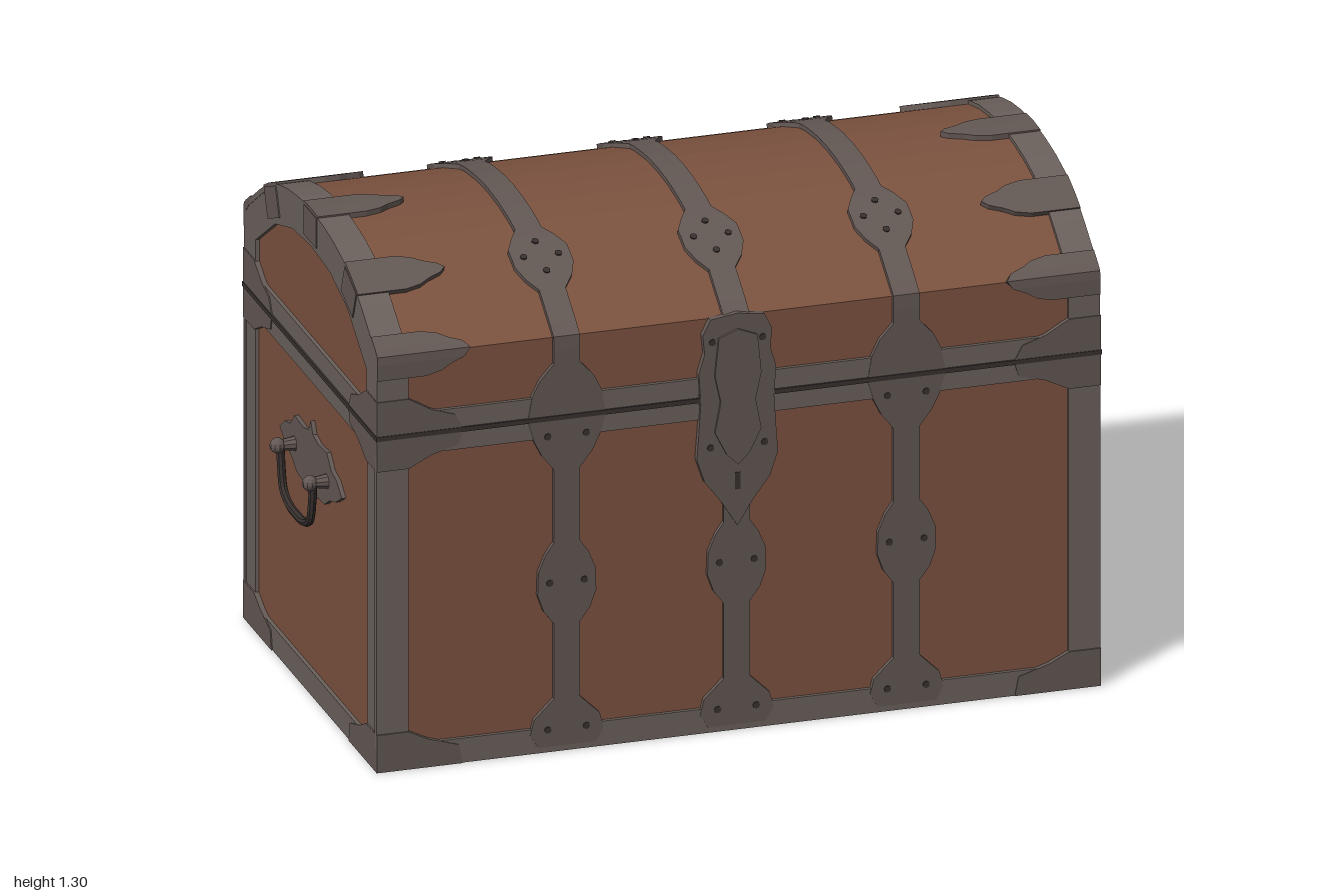
import * as THREE from 'three';

const mat = (name, color) => Object.assign(new THREE.MeshStandardMaterial({ color, flatShading: true }), { name });

// Half of the lid section as [z, y], from the ridge to the rim
const HALF = [[0, 1.283], [0.09, 1.279], [0.18, 1.267], [0.27, 1.246], [0.33, 1.222], [0.38, 1.196], [0.525, 1.098], [0.525, 0.89]];
const CUM = [0];
for (let i = 1; i < HALF.length; i++) CUM.push(CUM[i - 1] + Math.hypot(HALF[i][0] - HALF[i - 1][0], HALF[i][1] - HALF[i - 1][1]));
const RIM = CUM[CUM.length - 1];
const SHOULDER = CUM[6];

// Point on the lid at signed arc length s (negative = front)
function lidPoint(s) {
  const a = Math.min(Math.abs(s), RIM);
  let i = 1;
  while (i < CUM.length - 1 && CUM[i] < a) i++;
  const t = (a - CUM[i - 1]) / (CUM[i] - CUM[i - 1]);
  const z = HALF[i - 1][0] + t * (HALF[i][0] - HALF[i - 1][0]);
  const y = HALF[i - 1][1] + t * (HALF[i][1] - HALF[i - 1][1]);
  return [s > 0 ? -z : z, y];
}
function lidAt(s) {
  const [z, y] = lidPoint(s), a = lidPoint(s - 0.01), b = lidPoint(s + 0.01);
  const dz = b[0] - a[0], dy = b[1] - a[1], l = Math.hypot(dz, dy);
  return [z, y, dy / l, -dz / l];
}
const wallAt = (d) => (s) => [d, s, 1, 0];

// Metal strip following a surface; stations are [s, x0, x1]
function ribbon(at, stations, thick) {
  const rows = [];
  stations.forEach((st, i) => {
    const next = stations[i + 1];
    const n = next ? Math.max(1, Math.ceil((next[0] - st[0]) / 0.04)) : 1;
    for (let k = 0; k < n; k++) rows.push(next ? st.map((v, j) => v + (next[j] - v) * k / n) : st);
  });
  const pos = [], idx = [], last = (rows.length - 1) * 4;
  for (const [s, x0, x1] of rows) {
    const [z, y, nz, ny] = at(s);
    for (const [x, o] of [[x0, -0.004], [x1, -0.004], [x1, thick], [x0, thick]]) pos.push(x, y + ny * o, z + nz * o);
  }
  for (let r = 0; r < last; r += 4) for (let k = 0; k < 4; k++) {
    const a = r + k, b = r + (k + 1) % 4;
    idx.push(a, a + 4, b, b, a + 4, b + 4);
  }
  idx.push(0, 1, 2, 0, 2, 3, last, last + 2, last + 1, last, last + 3, last + 2);
  const g = new THREE.BufferGeometry();
  g.setAttribute('position', new THREE.Float32BufferAttribute(pos, 3));
  g.setIndex(idx);
  g.computeVertexNormals();
  return g;
}
const shapeOf = (pts) => new THREE.Shape(pts.map((p) => new THREE.Vector2(p[0], p[1])));
const mirrored = (pts) => [...pts, ...pts.slice().reverse().filter((p) => p[0] > 0).map(([x, y]) => [-x, y])];
const slab = (shape, depth) => new THREE.ExtrudeGeometry(shape, { depth, bevelEnabled: false });

export function createModel() {
  const wood = mat('wood', 0x7c523f), iron = mat('iron', 0x6b615c), plate = mat('ornamentIron', 0x635854), dark = mat('darkIron', 0x38312f);
  const root = new THREE.Group();
  root.name = 'chest';
  const add = (parent, name, geo, m, x = 0, y = 0, z = 0) => {
    const mesh = new THREE.Mesh(geo, m);
    mesh.name = name;
    mesh.position.set(x, y, z);
    parent.add(mesh);
    return mesh;
  };
  const group = (name, turn = 0) => {
    const g = new THREE.Group();
    g.name = name;
    g.rotation.y = turn;
    root.add(g);
    return g;
  };
  const box = (w, h, d) => new THREE.BoxGeometry(w, h, d);

  // Wooden body and domed lid
  add(root, 'body', box(1.85, 0.881, 1.05), wood, 0, 0.4445, 0);
  const lidGeo = slab(shapeOf(mirrored(HALF)), 1.85).translate(0, 0, -0.925).rotateY(-Math.PI / 2);
  add(root, 'lid', lidGeo, wood);
  add(root, 'seam', box(1.88, 0.012, 1.08), dark, 0, 0.888, 0);

  // Rails, posts and corner gussets of one wall, built facing +z
  function frame(g, W, d) {
    const at = wallAt(d), inner = W - 0.08, reach = W - 0.22;
    for (const [y0, y1] of [[0, 0.065], [0.835, 0.883], [0.893, 0.945]]) add(g, 'rail', ribbon(at, [[y0, -W, W], [y1, -W, W]], 0.01), iron);
    for (const s of [-1, 1]) {
      const span = (y, x) => (s > 0 ? [y, x, W + 0.003] : [y, -W - 0.003, -x]);
      add(g, 'post', ribbon(at, [span(0.06, inner), span(0.84, inner)], 0.009), iron);
      add(g, 'cornerPlate', ribbon(at, [span(0, reach), span(0.05, reach + 0.01), span(0.075, inner - 0.05), span(0.1, inner)], 0.013), plate);
      add(g, 'cornerPlate', ribbon(at, [span(0.8, inner), span(0.83, inner - 0.06), span(0.85, reach + 0.01), span(0.883, reach)], 0.013), plate);
      add(g, 'cornerPlate', ribbon(at, [span(0.893, reach), span(0.93, reach + 0.02), span(0.95, inner - 0.06), span(0.985, inner)], 0.013), plate);
    }
  }

  // Straps: [position, half width]
  const wallStrap = [[0.015, 0.075], [0.05, 0.095], [0.09, 0.085], [0.14, 0.034], [0.34, 0.034], [0.375, 0.06], [0.42, 0.076],
    [0.48, 0.074], [0.525, 0.055], [0.555, 0.034], [0.75, 0.034], [0.79, 0.065], [0.83, 0.085], [0.883, 0.1]];
  const lidStrapEnd = [[-RIM + 0.003, 0.1], [-RIM + 0.06, 0.09], [-RIM + 0.1, 0.07], [-RIM + 0.14, 0.034], [-0.435, 0.034],
    [-0.4, 0.06], [-0.36, 0.076], [-0.3, 0.076], [-0.26, 0.055], [-0.225, 0.034]];
  const lidStrap = [...lidStrapEnd, ...lidStrapEnd.slice().reverse().map(([s, w]) => [-s, w])];
  const strapX = [-0.445, -0.005, 0.435];
  const place = (list, x) => list.map(([s, w]) => [s, x - w, x + w]);
  const rivet = new THREE.CylinderGeometry(0.009, 0.009, 0.006, 8);

  for (const [name, turn, sign] of [['frontWall', 0, 1], ['backWall', Math.PI, -1]]) {
    const g = group(name, turn);
    frame(g, 0.935, 0.525);
    for (const x of strapX) {
      add(g, 'strap', ribbon(wallAt(0.525), place(wallStrap, x * sign), 0.012), plate);
      for (const [dx, y] of [[-0.045, 0.45], [0.045, 0.45], [-0.05, 0.06], [0.05, 0.06], [-0.05, 0.84], [0.05, 0.84]])
        add(g, 'rivet', rivet, dark, x * sign + dx, y, 0.537).rotation.x = Math.PI / 2;
    }
  }

  // Lid straps, end strips and leaf-shaped tabs
  const lidIron = group('lidIron');
  for (const x of strapX) {
    add(lidIron, 'lidStrap', ribbon(lidAt, place(lidStrap, x), 0.012), plate);
    for (const c of [-0.33, 0.33]) for (const [dx, ds] of [[-0.045, 0], [0.045, 0], [0, -0.05], [0, 0.05]]) {
      const [z, y, nz, ny] = lidAt(c + ds);
      add(lidIron, 'rivet', rivet, dark, x + dx, y + ny * 0.012, z + nz * 0.012).rotation.x = Math.atan2(nz, ny);
    }
  }
  const leaf = [[-0.056, 0.81], [-0.046, 0.77], [-0.03, 0.745], [-0.015, 0.71], [0, 0.695], [0.015, 0.71], [0.03, 0.745], [0.046, 0.77], [0.056, 0.81]];
  for (const s of [-1, 1]) {
    const span = (p, x) => (s > 0 ? [p, x, 0.936] : [p, -0.936, -x]);
    add(lidIron, 'endStrip', ribbon(lidAt, [span(-RIM, 0.855), span(RIM, 0.855)], 0.01), iron);
    for (const c of [-SHOULDER, -0.33, 0, 0.33, SHOULDER])
      add(lidIron, 'leafTab', ribbon(lidAt, leaf.map(([p, x]) => span(c + p, x)), 0.014), plate);
  }

  // End walls with arched lid frame and bail handle
  const archOuter = [];
  for (let i = 0; i <= 32; i++) {
    const [z, y, nz, ny] = lidAt(-RIM + 2 * RIM * i / 32);
    archOuter.push([z + nz * 0.009, y + ny * 0.009]);
  }
  const arch = shapeOf(archOuter);
  arch.holes.push(shapeOf(mirrored([[0, 1.195], [0.15, 1.184], [0.29, 1.142], [0.445, 1.04], [0.445, 0.945]])));
  const escutcheon = mirrored([[0, 0.73], [0.018, 0.7], [0.06, 0.69], [0.13, 0.695], [0.165, 0.66], [0.21, 0.65], [0.25, 0.62],
    [0.2, 0.59], [0.15, 0.575], [0.11, 0.55], [0.04, 0.545], [0, 0.515]]);
  const bail = new THREE.CatmullRomCurve3([[0.13, 0.625], [0.125, 0.57], [0.105, 0.51], [0.05, 0.487], [0, 0.485],
    [-0.05, 0.487], [-0.105, 0.51], [-0.125, 0.57], [-0.13, 0.625]].map(([x, y]) => new THREE.Vector3(x, y, 0.972)));
  for (const [name, turn] of [['leftEnd', Math.PI / 2], ['rightEnd', -Math.PI / 2]]) {
    const g = group(name, turn);
    frame(g, 0.53, 0.925);
    add(g, 'archFrame', slab(arch, 0.013), iron, 0, 0, 0.922);
    for (const c of [-0.33, 0, 0.33]) {
      const [z, y, nz, ny] = lidAt(c);
      add(g, 'archPlate', box(0.1, 0.08, 0.006), plate, z - nz * 0.035, y - ny * 0.035, 0.935).rotation.z = -Math.atan2(nz, ny);
    }
    add(g, 'handlePlate', slab(shapeOf(escutcheon), 0.012), plate, 0, 0, 0.924);
    add(g, 'handleBail', new THREE.TubeGeometry(bail, 32, 0.011, 8), dark);
    for (const s of [-1, 1]) {
      add(g, 'handlePost', new THREE.CylinderGeometry(0.012, 0.02, 0.055, 10), plate, s * 0.13, 0.62, 0.957).rotation.x = Math.PI / 2;
      add(g, 'handleKnob', new THREE.SphereGeometry(0.02, 10, 8), plate, s * 0.13, 0.62, 0.98);
    }
  }

  // Lock plate, hasp and keyhole
  const lock = group('lock');
  const lockHalf = [[0, 1.11], [0.07, 1.1], [0.09, 1.06], [0.085, 1.01], [0.1, 0.96], [0.095, 0.88], [0.1, 0.8], [0.105, 0.73], [0.085, 0.67], [0.04, 0.61], [0, 0.545]];
  add(lock, 'lockPlate', slab(shapeOf(mirrored(lockHalf)), 0.018), plate, -0.005, 0, 0.524);
  const haspHalf = [[0, 1.07], [0.05, 1.05], [0.06, 0.95], [0.045, 0.88], [0.06, 0.8], [0.03, 0.74], [0, 0.71]];
  add(lock, 'hasp', slab(shapeOf(mirrored(haspHalf)), 0.008), plate, -0.005, 0, 0.541);
  add(lock, 'keyhole', box(0.014, 0.045, 0.004), dark, -0.005, 0.665, 0.542);
  for (const [x, y] of [[-0.07, 0.76], [0.07, 0.76], [-0.065, 1.04], [0.065, 1.04]])
    add(lock, 'rivet', rivet, dark, x - 0.005, y, 0.542).rotation.x = Math.PI / 2;

  // Back hinges
  for (const x of [-0.44, 0.44]) {
    add(root, 'hingePlate', box(0.2, 0.09, 0.01), plate, x, 0.888, -0.537);
    add(root, 'hingePin', new THREE.CylinderGeometry(0.012, 0.012, 0.2, 10), plate, x, 0.888, -0.536).rotation.z = Math.PI / 2;
  }

  // Plates under the four bottom corners
  for (const sx of [-1, 1]) for (const sz of [-1, 1]) {
    const pts = [[0.933, 0.533], [0.73, 0.533], [0.74, 0.44], [0.8, 0.36], [0.933, 0.32]].map(([x, z]) => [sx * x, sz * z]);
    add(root, 'footPlate', slab(shapeOf(pts), 0.006).rotateX(Math.PI / 2), plate, 0, 0.006, 0);
  }
  return root;
}
